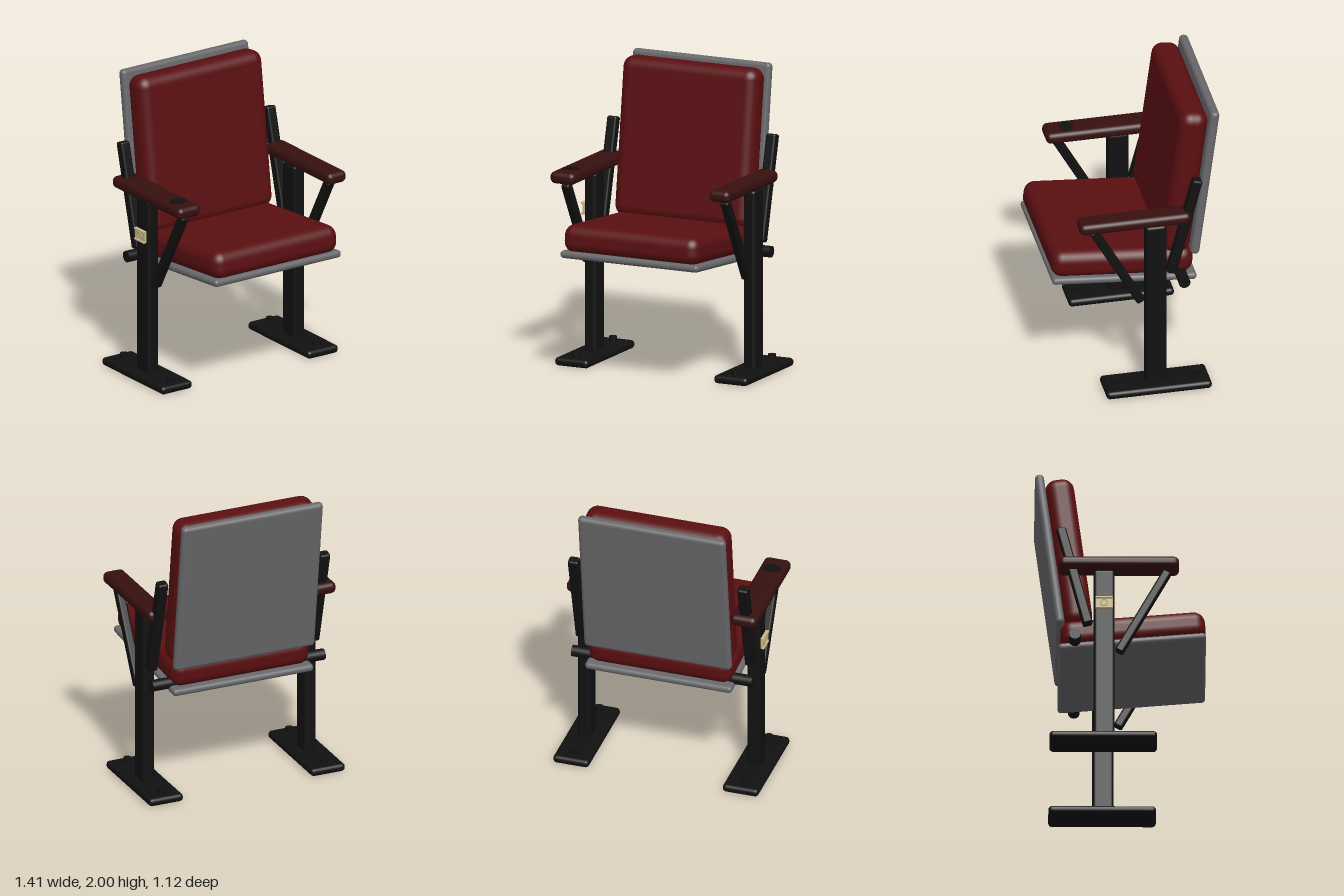
import * as THREE from 'three';
import { RoundedBoxGeometry } from 'three/addons/geometries/RoundedBoxGeometry.js';

const material = (name, color) => {
  const m = new THREE.MeshStandardMaterial({ color });
  m.name = name;
  return m;
};

export function createModel() {
  const model = new THREE.Group();
  model.name = 'auditoriumChair';

  const fabric = material('red fabric', 0x5a0f11);
  const shell = material('grey shell', 0x68686b);
  const metal = material('black metal', 0x111111);
  const wood = material('dark red armrest', 0x36100f);
  const brass = material('pale brass', 0xc8b585);

  const add = (name, geometry, mat, x, y, z, tilt = 0) => {
    const mesh = new THREE.Mesh(geometry, mat);
    mesh.name = name;
    mesh.position.set(x, y, z);
    mesh.rotation.x = tilt;
    model.add(mesh);
    return mesh;
  };
  const block = (name, mat, [w, h, d], radius, [x, y, z], tilt) =>
    add(name, new RoundedBoxGeometry(w, h, d, 4, radius), mat, x, y, z, tilt);

  // Bar in a side plane, running between two (y, z) points
  const bar = (name, x, [y0, z0], [y1, z1], width, depth) =>
    block(name, metal, [width, Math.hypot(y1 - y0, z1 - z0), depth], 0.015,
      [x, (y0 + y1) / 2, (z0 + z1) / 2], Math.atan2(z1 - z0, y1 - y0));

  // Seat and backrest, each a cushion on a thin shell
  const seatTilt = -0.085, backTilt = -0.13;
  block('seatShell', shell, [1.01, 0.05, 0.97], 0.024, [0, 0.793, 0.08], seatTilt);
  block('seatCushion', fabric, [0.99, 0.19, 0.95], 0.075, [0, 0.9, 0.085], seatTilt);
  block('backShell', shell, [1.01, 1.085, 0.06], 0.027, [0, 1.46, -0.46], backTilt);
  block('backCushion', fabric, [0.99, 1.06, 0.19], 0.075, [0, 1.458, -0.335], backTilt);

  // Hinge rod under the seat
  const rod = new THREE.CylinderGeometry(0.038, 0.038, 1.24, 24).rotateZ(Math.PI / 2);
  add('hingeRod', rod, metal, 0, 0.79, -0.295);

  // Side frames
  for (const side of [-1, 1]) {
    const x = side * 0.582;
    block('foot', metal, [0.245, 0.055, 0.705], 0.025, [x, 0.0275, -0.11]);
    block('post', metal, [0.088, 1.21, 0.14], 0.022, [x, 0.645, -0.105]);
    bar('backSupport', x, [0.87, -0.21], [1.56, -0.388], 0.072, 0.065);
    bar('armBrace', x, [0.67, -0.01], [1.25, 0.31], 0.06, 0.06);
    for (const z of [0.165, -0.375]) {
      add('bolt', new THREE.CylinderGeometry(0.026, 0.026, 0.04, 16), metal, x, 0.066, z);
    }
  }

  // Armrests; the right one is wider and holds a cup recess
  block('leftArmrest', wood, [0.15, 0.08, 0.745], 0.034, [0.58, 1.295, 0.037]);
  block('rightArmrest', wood, [0.18, 0.08, 0.785], 0.034, [-0.58, 1.295, -0.007]);
  const cup = add('cupRecess', new THREE.CylinderGeometry(0.06, 0.06, 0.004, 32), metal, -0.58, 1.335, 0.24);
  cup.scale.z = 0.78;

  // Blank seat plate with raised top and bottom rims and a round boss
  block('seatPlate', brass, [0.016, 0.085, 0.115], 0.006, [-0.636, 1.003, -0.105]);
  for (const y of [0.967, 1.039]) {
    block('plateRim', brass, [0.024, 0.014, 0.115], 0.006, [-0.642, y, -0.105]);
  }
  const boss = new THREE.TorusGeometry(0.022, 0.004, 8, 24).rotateY(Math.PI / 2);
  add('plateRing', boss, brass, -0.644, 1.003, -0.105);

  return model;
}
